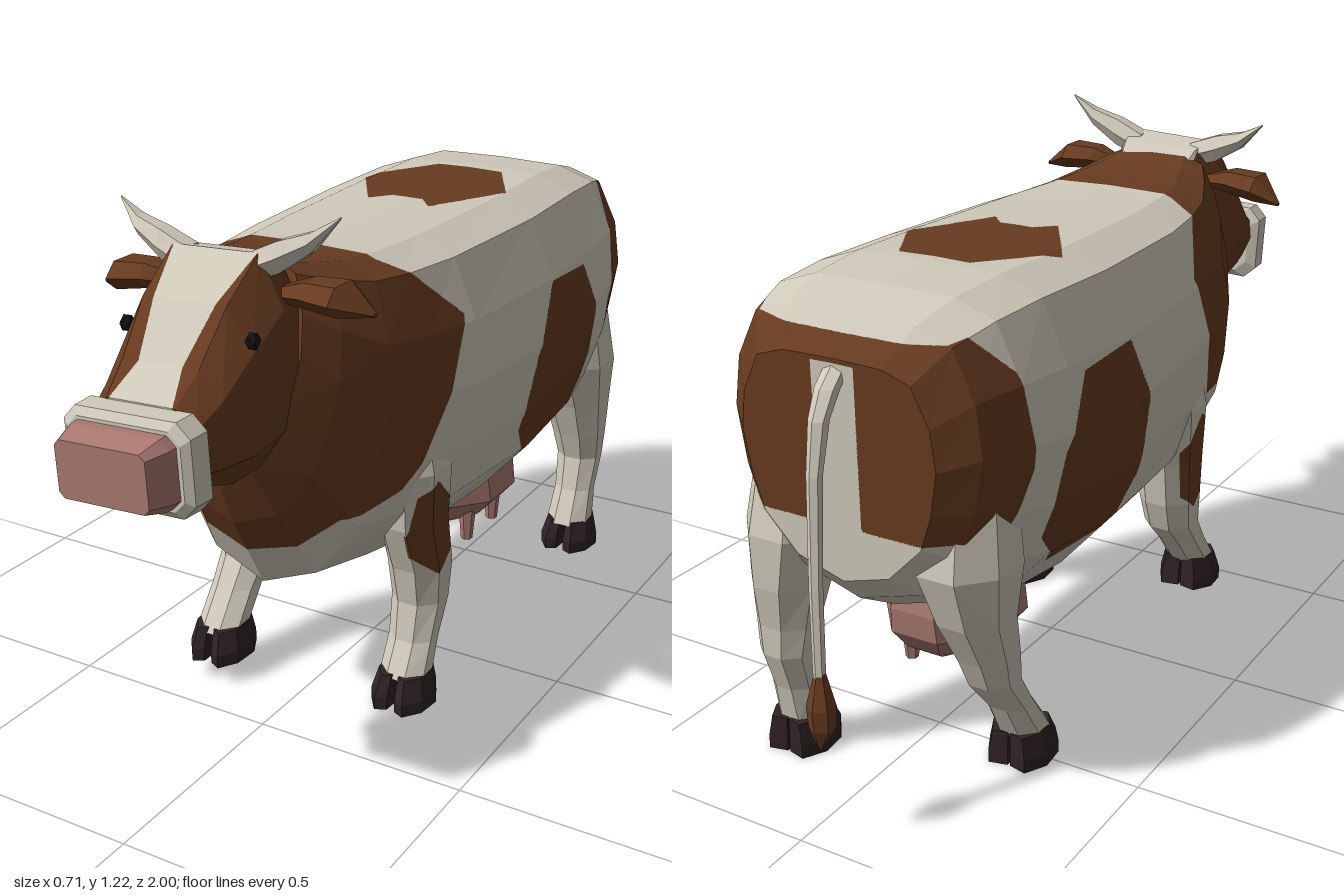
import * as THREE from 'three';

const mat = (name, color) => {
  const m = new THREE.MeshStandardMaterial({ color });
  m.name = name;
  return m;
};
const V = (x, y, z) => new THREE.Vector3(x, y, z);
const lerp = THREE.MathUtils.lerp;

// Point in polygon test for painted patches
function inside(poly, u, v) {
  let hit = false;
  for (let i = 0, j = poly.length - 1; i < poly.length; j = i++) {
    const [a, b] = poly[i], [c, d] = poly[j];
    if ((b > v) !== (d > v) && u < ((c - a) * (v - b)) / (d - b) + a) hit = !hit;
  }
  return hit;
}

// Faceted closed loft through rings; faces are refined along the border of paint(p)
function loft(name, rings, mats, paint = null) {
  const tris = [], n = rings[0].length;
  for (let i = 0; i + 1 < rings.length; i++) {
    for (let j = 0; j < n; j++) {
      const k = (j + 1) % n, a = rings[i], b = rings[i + 1];
      tris.push([a[j], a[k], b[k]], [a[j], b[k], b[j]]);
    }
  }
  const centre = r => r.reduce((s, p) => s.add(p), V(0, 0, 0)).divideScalar(n);
  const first = rings[0], last = rings[rings.length - 1], c0 = centre(first), c1 = centre(last);
  for (let j = 0; j < n; j++) {
    const k = (j + 1) % n;
    tris.push([c0, first[k], first[j]], [c1, last[j], last[k]]);
  }
  const volume = tris.reduce((s, [a, b, c]) => s + a.dot(b.clone().cross(c)), 0);
  const out = [[], []];
  const emit = (a, b, c, depth) => {
    if (!paint) return out[0].push(a, b, c);
    const ab = a.clone().lerp(b, 0.5), bc = b.clone().lerp(c, 0.5), ca = c.clone().lerp(a, 0.5);
    const mid = ab.clone().add(bc).add(ca).divideScalar(3);
    const sum = [a, b, c, ab, bc, ca, mid].reduce((s, p) => s + (paint(p) ? 1 : 0), 0);
    if (depth >= 6 || (depth >= 2 && sum % 7 === 0)) return out[paint(mid) ? 1 : 0].push(a, b, c);
    emit(a, ab, ca, depth + 1);
    emit(ab, b, bc, depth + 1);
    emit(ca, bc, c, depth + 1);
    emit(ab, bc, ca, depth + 1);
  };
  for (const [a, b, c] of tris) volume > 0 ? emit(a, b, c, 0) : emit(a, c, b, 0);
  const geo = new THREE.BufferGeometry().setFromPoints([...out[0], ...out[1]]);
  geo.computeVertexNormals();
  if (paint) {
    geo.addGroup(0, out[0].length, 0);
    geo.addGroup(out[0].length, out[1].length, 1);
  }
  const mesh = new THREE.Mesh(geo, mats);
  mesh.name = name;
  return mesh;
}

// Ring of n points; at(cos, sin) places each one
const ring = (n, at) => Array.from({ length: n }, (_, i) => {
  const a = ((i + 0.5) / n) * Math.PI * 2, k = 1 / Math.cos(Math.PI / n);
  return at(Math.cos(a) * k, Math.sin(a) * k);
});

// Symmetric upright section from a half profile of [width, height] fractions
function section(profile, zTop, yTop, zBot, yBot, hw) {
  const half = profile.map(([w, t]) => V(w * hw, lerp(yBot, yTop, t), lerp(zBot, zTop, t)));
  const other = half.slice(1, -1).reverse().map(p => V(-p.x, p.y, p.z));
  return [...half, ...other];
}

// Chamfered rectangle facing forward
const plate = (z, cy, hw, hh, c) => [[1, 1, 0, 1], [1, 1, 1, 0], [1, -1, 1, 0], [1, -1, 0, 1],
  [-1, -1, 0, 1], [-1, -1, 1, 0], [-1, 1, 1, 0], [-1, 1, 0, 1]]
  .map(([sx, sy, ix, iy]) => V(sx * (hw - c * iy), cy + sy * (hh - c * ix), z));

// Patch outlines: side ones in (z, y), back one in (x, z)
const shoulderPatch = [[0.28, 1.3], [0.28, 1.06], [0.13, 0.92], [0.27, 0.62], [0.32, 0.57], [0.48, 0.55], [0.55, 0.44], [1, 0.42], [1, 1.3]];
const flankPatch = [[-0.25, 0.895], [-0.44, 0.885], [-0.52, 0.74], [-0.545, 0.55], [-0.45, 0.445], [-0.235, 0.445], [-0.15, 0.55], [-0.17, 0.74]];
const rumpPatch = [[-0.72, 1.02], [-0.65, 0.94], [-0.625, 0.74], [-0.67, 0.62], [-0.9, 0.62], [-0.9, 1.005], [-0.78, 1.01]];
const backPatch = [[-0.08, -0.47], [0.09, -0.47], [0.18, -0.31], [0.08, -0.11], [0.04, -0.155], [-0.04, -0.155], [-0.08, -0.11], [-0.2, -0.3]];
const legPatch = [[0.22, 0.56], [0.27, 0.53], [0.29, 0.4], [0.2, 0.32], [0.15, 0.36], [0.14, 0.48]];

export function createModel() {
  const cow = new THREE.Group();
  cow.name = 'cow';
  const white = mat('cream hide', 0xcfc9ba), brown = mat('brown hide', 0x673b20);
  const pink = mat('pink skin', 0xa9786f), dark = mat('dark hoof', 0x2f2325), black = mat('black eye', 0x17151a);
  const hide = [white, brown];

  // Body and neck
  const barrel = [[0, 1], [0.5, 0.995], [0.78, 0.95], [0.95, 0.78], [1, 0.6], [0.93, 0.4], [0.82, 0.24], [0.48, 0.07], [0, 0]];
  const bodyRings = [
    [-0.825, 0.97, -0.82, 0.5, 0.23], [-0.76, 1.04, -0.77, 0.44, 0.295], [-0.65, 1.07, -0.65, 0.37, 0.33],
    [-0.5, 1.08, -0.5, 0.31, 0.345], [-0.25, 1.075, -0.25, 0.28, 0.353], [0.1, 1.07, 0.1, 0.29, 0.33],
    [0.25, 1.07, 0.28, 0.315, 0.3], [0.35, 1.075, 0.48, 0.355, 0.27], [0.45, 1.09, 0.585, 0.54, 0.215],
    [0.52, 1.11, 0.64, 0.67, 0.165],
  ].map(s => section(barrel, ...s));
  cow.add(loft('body', bodyRings, hide, ({ x, y, z }) =>
    inside(shoulderPatch, z, y) || inside(flankPatch, z, y) ||
    (inside(rumpPatch, z, y) && (Math.abs(x) > 0.05 || y > 0.96)) ||
    (y > 1 && inside(backPatch, x, z))));

  // Head, tilted slightly to one side
  const head = new THREE.Group();
  head.name = 'head';
  head.rotation.z = 0.05;
  head.position.x = 0.0475;
  cow.add(head);
  const skull = [[0, 1], [0.62, 1], [0.95, 0.76], [1, 0.5], [0.85, 0.2], [0.5, 0.02], [0, 0]];
  const skullRings = [
    [0.49, 1.09, 0.52, 0.74, 0.14], [0.53, 1.125, 0.55, 0.7, 0.155], [0.6, 1.14, 0.62, 0.69, 0.165],
    [0.71, 1.065, 0.71, 0.69, 0.16], [0.8, 0.965, 0.8, 0.72, 0.145], [0.87, 0.91, 0.87, 0.745, 0.13],
  ].map(s => section(skull, ...s));
  head.add(loft('skull', skullRings, [brown, white], ({ x, y, z }) => {
    const w = z < 0.6 ? 0.1 : z < 0.8 ? lerp(0.1, 0.052, (z - 0.6) / 0.2) : lerp(0.052, 0.075, (z - 0.8) / 0.07);
    return y > 0.86 && Math.abs(x) < w;
  }));
  head.add(loft('muzzle', [plate(0.855, 0.81, 0.125, 0.08, 0.03), plate(0.868, 0.81, 0.15, 0.097, 0.03),
    plate(0.918, 0.81, 0.148, 0.096, 0.03), plate(0.93, 0.81, 0.132, 0.08, 0.025)], white));
  head.add(loft('nose', [plate(0.9, 0.81, 0.125, 0.074, 0.02), plate(0.95, 0.81, 0.123, 0.072, 0.02),
    plate(1, 0.81, 0.105, 0.059, 0.012)], pink));

  // Horns, ears and eyes; each row is x, y, z, half height, half depth
  const sideways = (s, n, rows) => rows.map(([x, y, z, hy, hz]) => ring(n, (c, d) => V(s * x, y + c * hy, z + d * hz)));
  for (const s of [1, -1]) {
    const side = s > 0 ? 'left' : 'right';
    head.add(loft(side + 'Horn', sideways(s, 6, [[0.07, 1.105, 0.58, 0.03, 0.035], [0.14, 1.132, 0.575, 0.032, 0.03],
      [0.205, 1.162, 0.565, 0.02, 0.022], [0.262, 1.21, 0.55, 0.002, 0.002]]), white));
    head.add(loft(side + 'Ear', sideways(s, 6, [[0.12, 1.05, 0.56, 0.014, 0.02], [0.19, 1.06, 0.56, 0.026, 0.045],
      [0.265, 1.055, 0.56, 0.03, 0.055], [0.325, 1.025, 0.545, 0.004, 0.006]]), brown));
    const eye = new THREE.Mesh(new THREE.IcosahedronGeometry(0.02, 0), black);
    eye.name = side + 'Eye';
    eye.position.set(s * 0.15, 1.0, 0.705);
    eye.scale.x = 0.7;
    head.add(eye);
  }

  // Cloven hoof: two mirrored toes
  const toe = [[0.003, -0.06], [0.045, -0.07], [0.072, -0.02], [0.066, 0.04], [0.036, 0.08], [0.01, 0.068]];
  function hoof(name, x, y, z, pitch = 0) {
    const g = new THREE.Group();
    g.name = name;
    for (const s of [1, -1]) {
      g.add(loft('toe', [[0, 1, 0], [0.03, 1, 0], [0.08, 0.82, -0.008]].map(([h, k, dz]) =>
        toe.map(([tx, tz]) => V(s * tx * k, h, tz * k + dz))), dark));
    }
    g.position.set(x, y, z);
    g.rotation.x = pitch;
    cow.add(g);
  }

  // Legs; each row is y, centre z, half depth, centre x, half width
  function leg(name, s, rows, paint) {
    cow.add(loft(name, rows.map(([y, z, hz, x, hx]) => ring(8, (c, d) => V(s * (x + c * hx), y, z + d * hz))),
      paint ? hide : white, paint));
  }
  const spotted = ({ x, y, z }) => Math.abs(x) > 0.24 && inside(legPatch, z, y);
  const foreTop = [[0.68, 0.2, 0.08, 0.21, 0.06], [0.58, 0.2, 0.1, 0.218, 0.074], [0.45, 0.2, 0.088, 0.218, 0.07]];
  leg('leftForeleg', 1, [...foreTop, [0.33, 0.17, 0.075, 0.22, 0.067], [0.24, 0.17, 0.06, 0.222, 0.06],
    [0.15, 0.2, 0.045, 0.222, 0.054], [0.07, 0.235, 0.052, 0.222, 0.056]], spotted);
  leg('rightForeleg', -1, [...foreTop, [0.34, 0.2, 0.075, 0.22, 0.067], [0.265, 0.215, 0.065, 0.22, 0.06],
    [0.2, 0.27, 0.055, 0.22, 0.054], [0.115, 0.34, 0.052, 0.218, 0.055]], spotted);
  leg('leftHindLeg', 1, [[0.68, -0.68, 0.1, 0.2, 0.09], [0.54, -0.7, 0.115, 0.2, 0.105], [0.42, -0.725, 0.085, 0.212, 0.08],
    [0.32, -0.735, 0.06, 0.22, 0.066], [0.25, -0.745, 0.048, 0.222, 0.056], [0.16, -0.722, 0.042, 0.222, 0.05],
    [0.07, -0.695, 0.054, 0.222, 0.056]]);
  leg('rightHindLeg', -1, [[0.68, -0.67, 0.1, 0.2, 0.09], [0.54, -0.68, 0.115, 0.2, 0.105], [0.42, -0.675, 0.085, 0.212, 0.08],
    [0.32, -0.645, 0.065, 0.22, 0.066], [0.25, -0.625, 0.055, 0.222, 0.056], [0.16, -0.56, 0.045, 0.222, 0.05],
    [0.07, -0.505, 0.054, 0.222, 0.056]]);
  hoof('leftForeHoof', 0.222, 0, 0.24);
  hoof('rightForeHoof', -0.218, 0.05, 0.335, 0.06);
  hoof('leftHindHoof', 0.222, 0, -0.7);
  hoof('rightHindHoof', -0.222, 0, -0.507);

  // Udder with four teats
  cow.add(loft('udder', [[0.36, 0.13, 0.165], [0.31, 0.135, 0.175], [0.25, 0.143, 0.17], [0.2, 0.1, 0.135], [0.182, 0.075, 0.11]]
    .map(([y, hx, hz]) => ring(8, (c, d) => V(0.01 + c * hx, y, -0.405 + d * hz))), pink));
  for (const x of [-0.068, 0.088]) {
    for (const z of [-0.33, -0.475]) {
      const teat = new THREE.Mesh(new THREE.CylinderGeometry(0.023, 0.015, 0.09, 6).toNonIndexed(), pink);
      teat.geometry.computeVertexNormals();
      teat.name = 'teat';
      teat.position.set(x, 0.178, z);
      cow.add(teat);
    }
  }

  // Tail and tuft; each row is x, y, z, radius
  const hanging = rows => rows.map(([x, y, z, r]) => ring(6, (c, d) => V(x + c * r, y, z + d * r)));
  cow.add(loft('tail', hanging([[0, 0.955, -0.8, 0.022], [-0.005, 0.92, -0.845, 0.022], [-0.012, 0.87, -0.885, 0.018],
    [-0.02, 0.77, -0.917, 0.014], [-0.035, 0.55, -0.95, 0.012], [-0.045, 0.36, -0.967, 0.011]]), white));
  cow.add(loft('tailTuft', hanging([[-0.045, 0.38, -0.965, 0.01], [-0.048, 0.31, -0.97, 0.026],
    [-0.05, 0.265, -0.972, 0.024], [-0.05, 0.22, -0.982, 0.004]]), brown));
  return cow;
}
